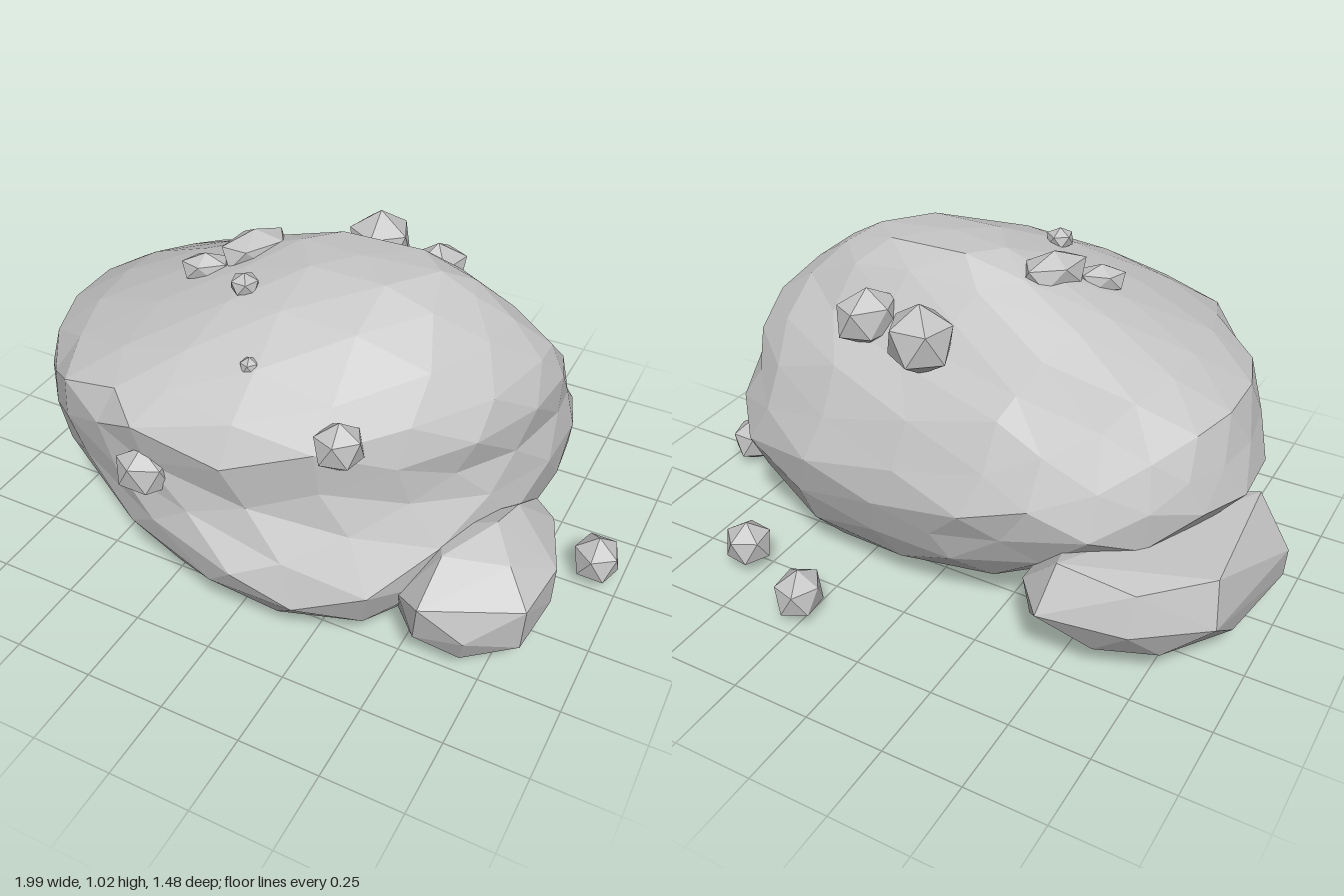
import * as THREE from 'three';
import { ConvexGeometry } from 'three/addons/geometries/ConvexGeometry.js';

const stone = new THREE.MeshStandardMaterial({ color: 0xc4c4c4, flatShading: true });
stone.name = 'grey stone';

// Cross-sections from crown to base: y, xMin, xMax, zMin, zMax,
// then where each extreme sits: x of front, x of back, z of -x side, z of +x side
const LEVELS = [
  [1.025, 0.15, 0.15, 0.07, 0.07, 0.15, 0.15, 0.07, 0.07],
  [1.015, -0.06, 0.39, -0.06, 0.2, 0.15, 0.15, 0.05, 0.03],
  [0.94, -0.25, 0.51, -0.14, 0.39, 0, 0.2, 0.06, 0.02],
  [0.81, -0.59, 0.67, -0.23, 0.58, -0.16, 0.05, 0.12, 0],
  [0.71, -0.79, 0.73, -0.37, 0.7, -0.24, -0.25, 0.1, -0.03],
  [0.57, -0.84, 0.73, -0.45, 0.69, -0.22, -0.25, 0.08, -0.08],
  [0.44, -0.89, 0.76, -0.51, 0.68, -0.08, -0.2, 0.07, -0.13],
  [0.29, -0.72, 0.74, -0.47, 0.75, 0.13, -0.05, 0.06, -0.1],
  [0.15, -0.48, 0.66, -0.42, 0.69, 0.16, 0.05, 0.05, 0],
  [0.035, -0.14, 0.53, -0.32, 0.43, 0.2, 0.15, 0.05, 0.05],
  [0.035, 0.2, 0.2, 0.05, 0.05, 0.2, 0.2, 0.05, 0.05],
];

// Repeatable roughness that is equal for coincident corners
function rough(x, y, z) {
  return Math.sin(x * 23 + y * 7 + 1) * Math.sin(y * 19 - z * 11) * Math.sin(z * 21 + x * 5 + 2);
}

// Faceted ball reshaped to follow the cross-sections, squarest at the back +x corner
function boulderGeometry() {
  const geo = new THREE.IcosahedronGeometry(1, 3);
  const p = geo.attributes.position;
  const v = new THREE.Vector3();
  for (let i = 0; i < p.count; i++) {
    v.fromBufferAttribute(p, i).normalize();
    const t = Math.acos(THREE.MathUtils.clamp(v.y, -1, 1)) / Math.PI * (LEVELS.length - 1);
    const k = Math.min(Math.floor(t), LEVELS.length - 2);
    const [y, x0, x1, z0, z1, xFront, xBack, zRight, zLeft] =
      LEVELS[k].map((a, j) => THREE.MathUtils.lerp(a, LEVELS[k + 1][j], t - k));
    const angle = Math.atan2(v.z, v.x);
    const c = Math.cos(angle), s = Math.sin(angle);
    const n = s > 0 ? 1.95 : c > 0 ? 3 : 2.15;
    const r = Math.pow(Math.abs(c) ** n + Math.abs(s) ** n, -1 / n) * (1 + 0.03 * rough(v.x, v.y, v.z));
    const cx = s > 0 ? xFront : xBack;
    const cz = c > 0 ? zLeft : zRight;
    p.setXYZ(i,
      cx + r * Math.abs(c) * ((c > 0 ? x1 : x0) - cx),
      y,
      cz + r * Math.abs(s) * ((s > 0 ? z1 : z0) - cz));
  }
  geo.computeVertexNormals();
  return geo;
}

const hull = (points) => new ConvexGeometry(points.map((q) => new THREE.Vector3(...q)));

export function createModel() {
  const model = new THREE.Group();
  model.name = 'rockCluster';
  const add = (name, geo) => {
    const mesh = new THREE.Mesh(geo, stone);
    mesh.name = name;
    model.add(mesh);
    return mesh;
  };

  add('mainBoulder', boulderGeometry());

  // Broad low rock at the back corner
  add('backRock', hull([
    [-0.92, 0.39, -0.34], [-0.89, 0.41, 0.08], [-0.74, 0.36, -0.48], [-0.5, 0.38, -0.48],
    [-0.38, 0.26, -0.45], [-0.94, 0.25, -0.38], [-1, 0.25, 0.06], [-0.99, 0.14, 0.08],
    [-0.74, 0.24, -0.52], [-0.48, 0.25, -0.57], [-0.85, 0.04, -0.15], [-0.84, 0.04, 0.04],
    [-0.7, 0.04, -0.34], [-0.5, 0.04, -0.34], [-0.48, 0.04, 0], [-0.35, 0.12, -0.2],
    [-0.82, 0.12, 0.2], [-0.4, 0.3, 0], [-0.94, 0.13, -0.22], [-0.62, 0.12, -0.48],
    [-0.4, 0.13, -0.44], [-0.8, 0.13, -0.42], [-0.82, 0.28, 0.22],
  ]));

  // Smaller rock leaning on the front corner
  add('frontRock', hull([
    [0.7, 0.43, 0.3], [0.72, 0.41, 0.18], [0.6, 0.39, 0.46], [0.73, 0.32, 0.03],
    [0.73, 0.09, 0.04], [0.8, 0.3, 0.07], [0.88, 0.31, 0.28], [0.86, 0.3, 0.47],
    [0.59, 0.3, 0.6], [0.57, 0.16, 0.57], [0.85, 0.15, 0.46], [0.83, 0.04, 0.28],
    [0.6, 0.04, 0.4], [0.6, 0.04, 0.14], [0.47, 0.13, 0.45], [0.5, 0.25, 0.52],
    [0.78, 0.06, 0.42], [0.46, 0.2, 0.25], [0.72, 0.2, 0.57], [0.88, 0.2, 0.3],
    [0.82, 0.15, 0.11], [0.7, 0.1, 0.53], [0.78, 0.38, 0.4], [0.54, 0.37, 0.32],
  ]));

  // Pebbles: x, y, z, radius, width stretch, height stretch, depth stretch, turn
  const pebbles = [
    [0.92, 0.09, -0.05, 0.083, 0.95, 1, 1, 0.3],
    [0.55, 0.098, -0.55, 0.079, 1, 1, 1, 0.8],
    [0.27, 0.09, -0.66, 0.085, 0.9, 1, 1.05, 0.1],
    [0.04, 0.85, -0.3, 0.108, 1, 1.05, 0.95, 0.4],
    [0.26, 0.84, -0.24, 0.1, 1.1, 0.95, 0.8, 1.1],
    [0.32, 0.73, 0.54, 0.08, 0.95, 1, 0.8, 0.5],
    [-0.23, 0.53, 0.67, 0.09, 1, 0.95, 0.7, 0.2],
    [0.02, 0.86, 0.485, 0.028, 1, 1, 1, 0.6],
    [-0.11, 0.97, 0.28, 0.045, 1, 0.8, 1, 0.9],
    [-0.19, 0.96, 0.08, 0.11, 0.65, 0.6, 1.1, -0.5],
    [-0.3, 0.92, 0.18, 0.08, 1, 0.6, 0.65, 0.5],
  ];
  pebbles.forEach(([x, y, z, r, sx, sy, sz, turn], i) => {
    // Stand each pebble on a corner
    const pebble = add(`pebble${i + 1}`, new THREE.IcosahedronGeometry(r, 0).rotateZ(0.5536));
    pebble.position.set(x, y, z);
    pebble.scale.set(sx, sy, sz);
    pebble.rotation.y = turn;
  });
  return model;
}
